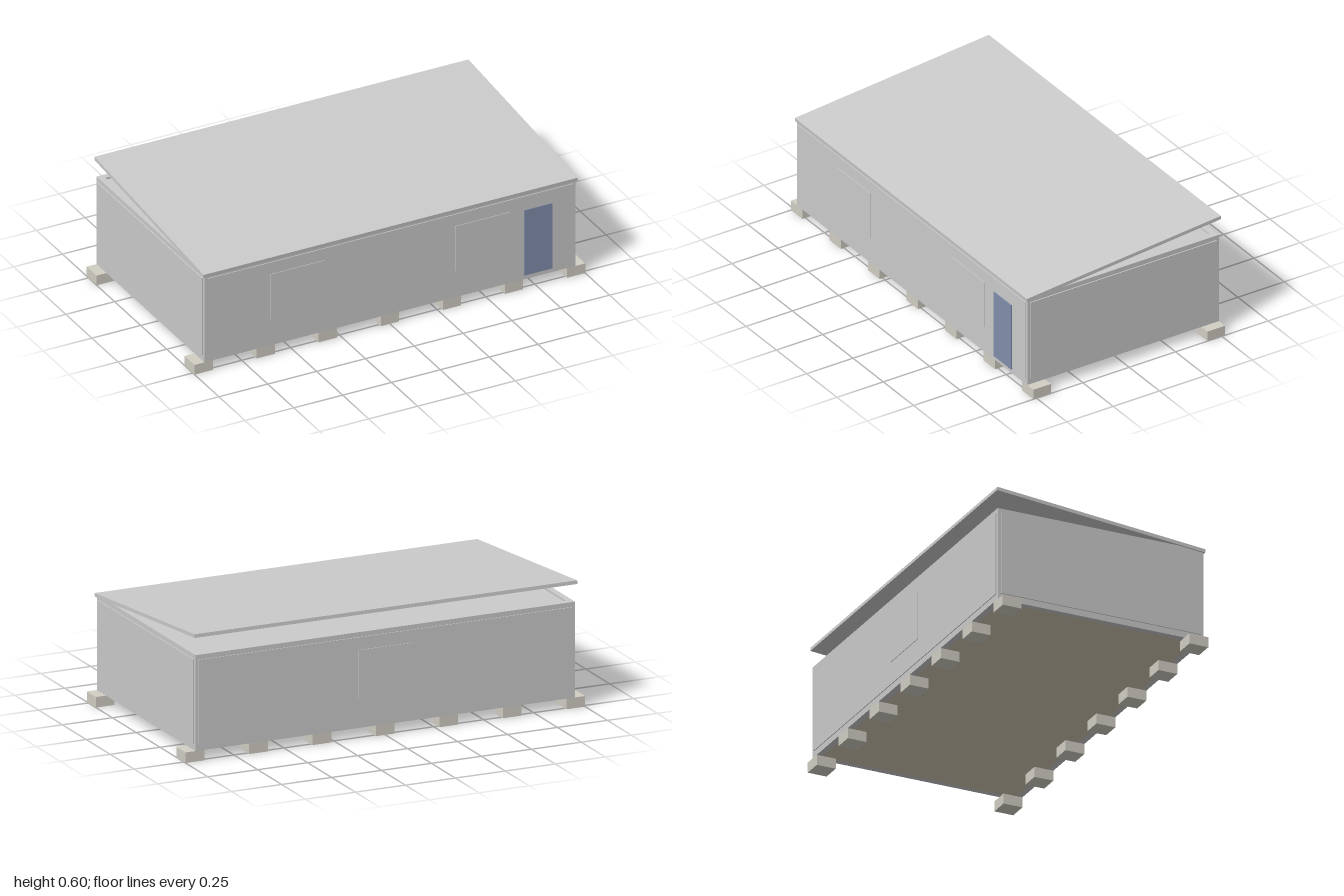
import * as THREE from 'three';

const mat = (color) => new THREE.MeshStandardMaterial({ color });
const grey = mat(0xcccccc), concrete = mat(0xd2cfc4), timber = mat(0xd0c8b2), blue = mat(0x828fac);

// Box given by its minimum and maximum on each axis
function block(parent, name, [x0, x1], [y0, y1], [z0, z1], material = grey) {
  const mesh = new THREE.Mesh(new THREE.BoxGeometry(x1 - x0, y1 - y0, z1 - z0), material);
  mesh.position.set((x0 + x1) / 2, (y0 + y1) / 2, (z0 + z1) / 2);
  mesh.name = name;
  parent.add(mesh);
  return mesh;
}

// Range lying on the side s (+1 or -1) of the centre
const side = (s, a, b) => (s > 0 ? [a, b] : [-b, -a]);

export function createModel() {
  const model = new THREE.Group();
  model.name = 'cabin';
  const X = 0.95, Z = 0.517, base = 0.05, top = 0.503, t = 0.03;

  // Foundation blocks along both long sides
  const feet = new THREE.Group();
  feet.name = 'foundationBlocks';
  model.add(feet);
  for (const s of [-1, 1]) {
    for (let i = -3; i <= 3; i++) {
      const x = i * 0.3177;
      block(feet, 'foundationBlock', [x - 0.047, x + 0.047], [0, base], side(s, 0.422, Z), concrete);
    }
  }

  // Frame: lower and upper beams and corner posts
  const frame = new THREE.Group();
  frame.name = 'frame';
  model.add(frame);
  for (const [name, y0, y1] of [['lowerBeam', base, 0.08], ['upperBeam', 0.48, top]]) {
    for (const s of [-1, 1]) {
      block(frame, name, [-X, X], [y0, y1], side(s, Z - t, Z));
      block(frame, name, side(s, X - t, X), [y0, y1], [t - Z, Z - t]);
    }
  }
  for (const sx of [-1, 1]) {
    for (const sz of [-1, 1]) {
      block(frame, 'cornerPost', side(sx, X - t, X), [0.08, 0.48], side(sz, Z - t, Z));
    }
  }

  // Floor and ceiling
  block(model, 'floor', [t - X, X - t], [base, 0.075], [t - Z, Z - t], timber);
  block(model, 'ceiling', [t - X, X - t], [0.475, 0.493], [t - Z, Z - t]);

  // Wall panels, standing slightly proud of the frame
  for (const s of [-1, 1]) {
    block(model, 'longWall', [-0.935, 0.935], [0.08, 0.48], side(s, Z - 0.02, 0.521));
    block(model, 'endWall', side(s, X - 0.02, 0.955), [0.08, 0.48], [-0.502, 0.502]);
  }

  // Windows: two at the front, one at the back
  for (const [x, s] of [[-0.475, 1], [0.47, 1], [0, -1]]) {
    block(model, 'window', [x - 0.138, x + 0.138], [0.188, 0.42], side(s, 0.515, 0.524));
  }

  // Door
  block(model, 'door', [0.685, 0.828], [0.073, 0.41], [0.515, 0.525], blue);

  // Sloping roof, low at the front
  const tilt = Math.atan2(0.097, 1.05);
  const roof = new THREE.Mesh(new THREE.BoxGeometry(1.915, 0.017, 1.052), grey);
  roof.name = 'roof';
  roof.position.y = 0.5475;
  roof.rotation.x = tilt;
  model.add(roof);

  return model;
}
